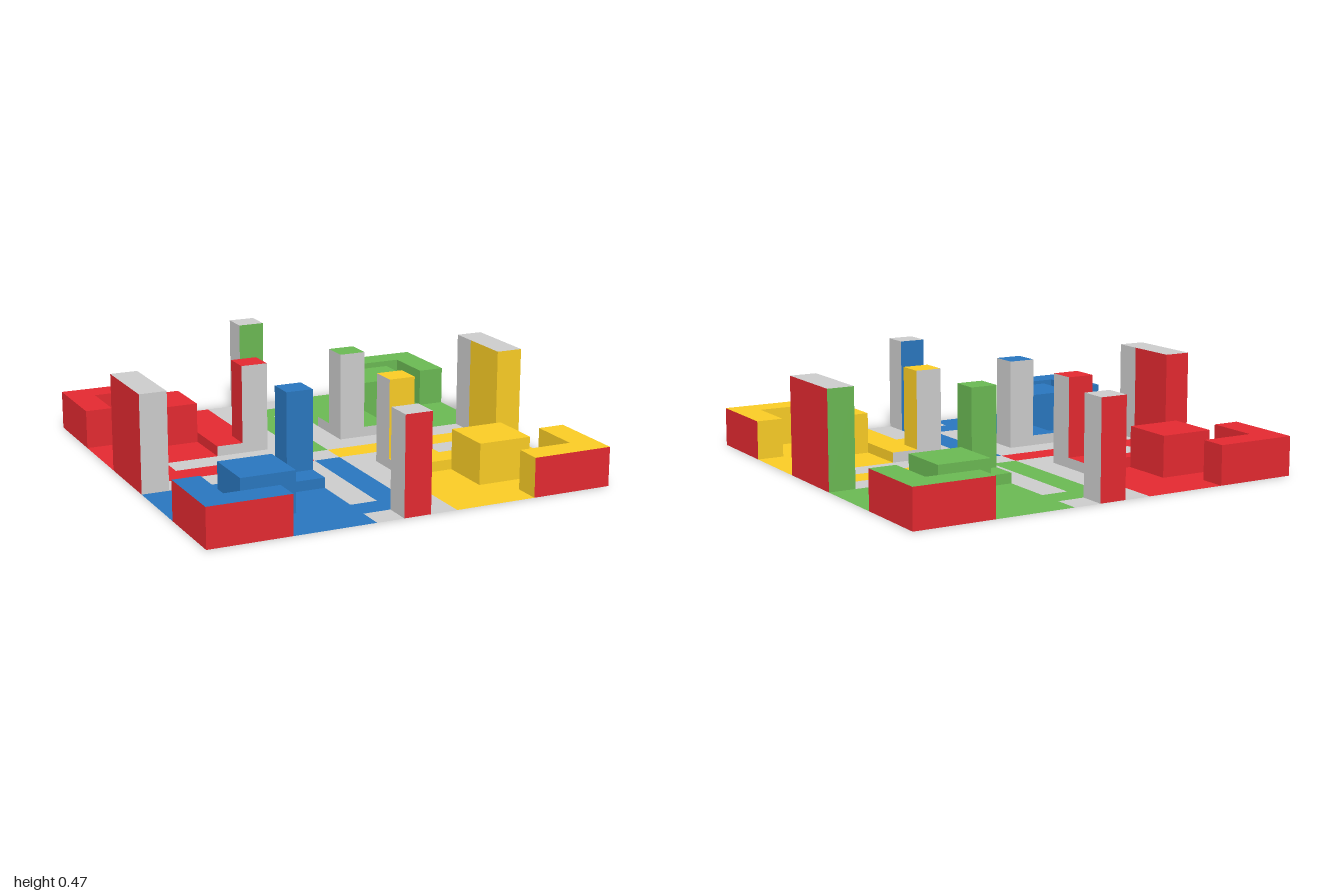
import * as THREE from 'three';
import { mergeGeometries } from 'three/addons/utils/BufferGeometryUtils.js';

const N = 15, S = 2 / N;
const COLORS = { grey: 0xcccccc, red: 0xe32930, green: 0x6ab853, blue: 0x2976be, yellow: 0xf9cc25 };
const inside = (i, j) => i >= 0 && j >= 0 && i < N && j < N;

// Colour of the tile in column i (along x) and row j (back to front)
function tileColor(i, j) {
  if (i < 6 && j < 6) return 'red';
  if (i > 8 && j < 6) return 'green';
  if (i < 6 && j > 8) return 'blue';
  if (i > 8 && j > 8) return 'yellow';
  if ((i === 7 && j >= 1 && j <= 6) || (i === 8 && j === 1)) return 'green';
  if ((j === 7 && i >= 1 && i <= 6) || (i === 1 && j === 6)) return 'red';
  if ((i === 7 && j >= 8 && j <= 13) || (i === 6 && j === 13)) return 'blue';
  if ((j === 7 && i >= 8 && i <= 13) || (i === 13 && j === 8)) return 'yellow';
  return 'grey';
}

// Part name and height of a tile; the four home corners mirror each other
function tilePart(i, j) {
  const a = Math.min(i, N - 1 - i), b = Math.min(j, N - 1 - j);
  if (a < 6 && b < 6) {
    if ((a === 0 && b < 3) || (b === 0 && a < 3)) return ['cornerWall', 0.19];
    if ((a === 2 || a === 3) && (b === 2 || b === 3)) return ['homeBlock', 0.2];
    if (a === 5 && b === 5) return ['innerPillar', 0.44];
    if (a >= 4 && b >= 4) return ['pillarStep', 0.05];
  }
  if (a === 0 && b >= 6) return ['sideTower', 0.475];
  if (a === 7 && b === 0) return ['endTower', 0.475];
  return ['boardTiles', 0];
}

// Flat four-cornered face, corners counter-clockwise from outside
function quad(...corners) {
  const g = new THREE.BufferGeometry();
  const [a, b, c, d] = corners;
  g.setAttribute('position', new THREE.Float32BufferAttribute([a, b, c, a, c, d].flat(), 3));
  g.computeVertexNormals();
  return g;
}

export function createModel() {
  const group = new THREE.Group();
  group.name = 'gameBoard';
  const parts = {};
  const add = (part, color, face) => ((parts[part] ??= {})[color] ??= []).push(face);

  for (let i = 0; i < N; i++) for (let j = 0; j < N; j++) {
    const [part, h] = tilePart(i, j);
    const x0 = -1 + i * S, x1 = x0 + S, z0 = -1 + j * S, z1 = z0 + S;
    add(part, tileColor(i, j), quad([x0, h, z1], [x1, h, z1], [x1, h, z0], [x0, h, z0]));

    // Walls drop to each lower neighbour and take its colour; the rim is red
    const sides = [
      [0, 1, x0, z1, x1, z1], [1, 0, x1, z1, x1, z0],
      [0, -1, x1, z0, x0, z0], [-1, 0, x0, z0, x0, z1],
    ];
    for (const [di, dj, ax, az, bx, bz] of sides) {
      const ni = i + di, nj = j + dj, within = inside(ni, nj);
      const low = within ? tilePart(ni, nj)[1] : 0;
      if (low >= h) continue;
      let color = within ? tileColor(ni, nj) : 'red';
      if (i === 0 && j === 8 && dj === 1) color = 'grey';
      add(part, color, quad([ax, low, az], [bx, low, bz], [bx, h, bz], [ax, h, az]));
    }
  }

  // One open-bottomed shell per part, split by colour
  for (const [part, byColor] of Object.entries(parts)) {
    const partGroup = new THREE.Group();
    partGroup.name = part;
    for (const [color, faces] of Object.entries(byColor)) {
      const mesh = new THREE.Mesh(mergeGeometries(faces),
        new THREE.MeshStandardMaterial({ color: COLORS[color], side: THREE.DoubleSide }));
      mesh.name = `${part} ${color}`;
      partGroup.add(mesh);
    }
    group.add(partGroup);
  }
  return group;
}
